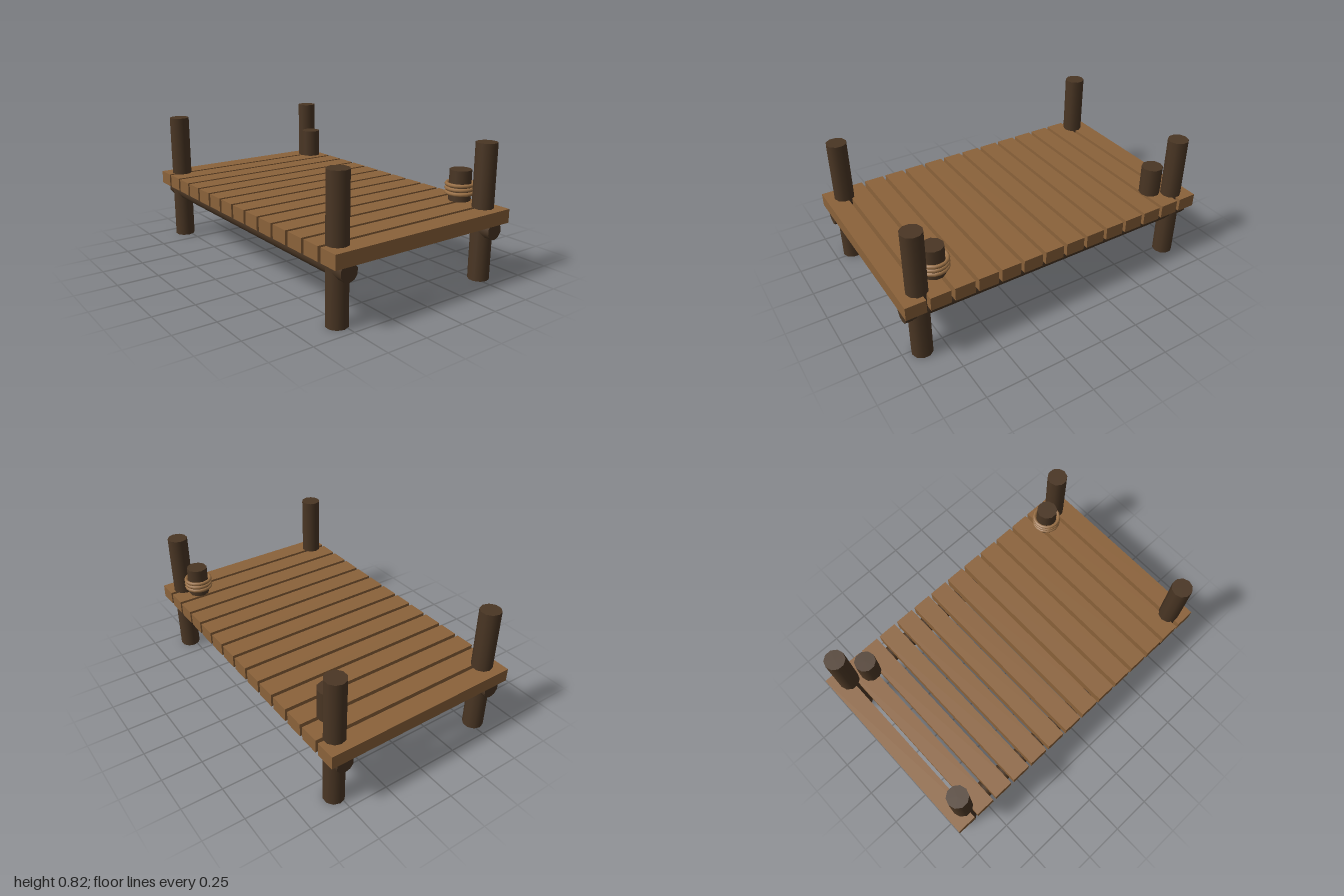
import * as THREE from 'three';

export function createModel() {
  const model = new THREE.Group();
  model.name = 'dock';

  const material = (name, color) => {
    const m = new THREE.MeshStandardMaterial({ color });
    m.name = name;
    return m;
  };
  const plankWood = material('plank wood', 0x8b623a);
  const darkWood = material('dark wood', 0x4a3624);
  const ropeFibre = material('rope', 0x9a7045);

  const add = (name, geometry, mat, x, y, z) => {
    const mesh = new THREE.Mesh(geometry, mat);
    mesh.name = name;
    mesh.position.set(x, y, z);
    model.add(mesh);
    return mesh;
  };

  // Deck planks, evenly spaced from back to front
  const plankCount = 14, plankDepth = 0.122;
  const plank = new THREE.BoxGeometry(1.244, 0.082, plankDepth);
  const pitch = (2 - plankDepth) / (plankCount - 1);
  for (let i = 0; i < plankCount; i++) {
    add('plank', plank, plankWood, 0, 0.396, -1 + plankDepth / 2 + i * pitch);
  }

  // Corner posts and the long round beams under the deck
  const post = new THREE.CylinderGeometry(0.063, 0.063, 0.82, 10);
  const beam = new THREE.CylinderGeometry(0.054, 0.054, 1.968, 10).rotateX(Math.PI / 2);
  for (const x of [-0.525, 0.525]) {
    add('beam', beam, darkWood, x, 0.318, 0);
    for (const z of [-0.887, 0.887]) add('post', post, darkWood, x, 0.41, z);
  }

  // Mooring bollards on the left side
  const bollard = new THREE.CylinderGeometry(0.065, 0.065, 0.184, 10);
  for (const z of [-0.755, 0.755]) add('bollard', bollard, darkWood, 0.47, 0.553, z);

  // Rope coils around the front bollard
  const coil = new THREE.TorusGeometry(0.079, 0.0115, 6, 16).rotateX(Math.PI / 2);
  for (let i = 0; i < 3; i++) add('ropeCoil', coil, ropeFibre, 0.47, 0.51 + i * 0.025, 0.755);

  return model;
}
